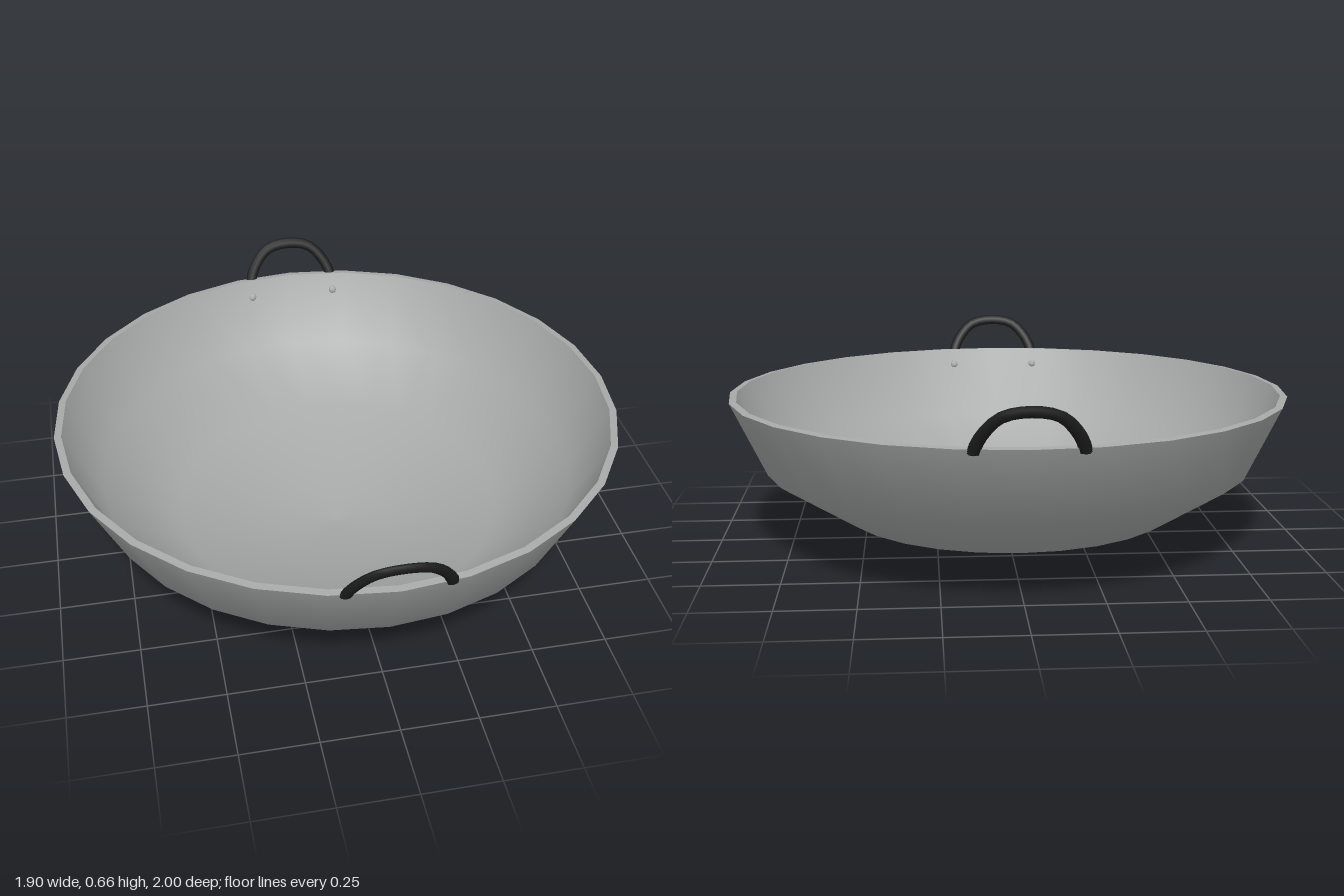
import * as THREE from 'three';

const SIDES = 28;

function mat(name, color, side = THREE.FrontSide) {
  const m = new THREE.MeshStandardMaterial({ color, side });
  m.name = name;
  return m;
}

function lathe(points) {
  return new THREE.LatheGeometry(points.map(([r, y]) => new THREE.Vector2(r, y)), SIDES);
}

export function createModel() {
  const group = new THREE.Group();
  const steel = mat('steel grey', 0xa6a9a8, THREE.DoubleSide);
  const black = mat('handle black', 0x1c1c1c);

  const add = (name, geometry, material, parent = group) => {
    const mesh = new THREE.Mesh(geometry, material);
    mesh.name = name;
    parent.add(mesh);
    return mesh;
  };

  // Bowl: separate shells keep the rim edges crisp
  add('bowlOutside', lathe([[0, 0], [0.2, 0.016], [0.575, 0.11], [0.832, 0.275], [0.95, 0.525]]), steel);
  add('bowlInside', lathe([[0.926, 0.528], [0.81, 0.287], [0.563, 0.13], [0.198, 0.037], [0, 0.022]]), steel);
  add('rim', lathe([[0.95, 0.525], [0.926, 0.528]]), steel);

  // Arched handle, flattened across its plane
  const arch = new THREE.CatmullRomCurve3(
    [[-0.158, -0.012], [-0.143, 0.035], [-0.085, 0.108], [0, 0.127],
      [0.085, 0.108], [0.143, 0.035], [0.158, -0.012]]
      .map(([x, y]) => new THREE.Vector3(x, y, 0)));
  const archGeo = new THREE.TubeGeometry(arch, 16, 0.02, 8, false).scale(1, 1, 0.65);

  // Round end plugs of the handle
  const endGeo = new THREE.SphereGeometry(0.02, 8, 6).scale(1, 0.4, 0.65);
  const rivetGeo = new THREE.SphereGeometry(0.015, 10, 6).scale(1, 1, 0.7);

  // Front and back assemblies mirror each other
  for (const [side, turn] of [['front', 0], ['back', Math.PI]]) {
    const end = new THREE.Group();
    end.name = side + 'HandleAssembly';
    end.rotation.y = turn;
    group.add(end);

    const handle = new THREE.Group();
    handle.name = side + 'Handle';
    handle.position.set(0, 0.525, 0.928);
    handle.rotation.x = 0.45;
    end.add(handle);
    add('handleArch', archGeo, black, handle);

    for (const s of [-1, 1]) {
      add('handleEnd', endGeo, black, handle).position.set(s * 0.158, -0.012, 0);
      const rivet = add('rivet', rivetGeo, steel, end);
      rivet.position.set(s * 0.16, 0.47, 0.882);
      rivet.rotation.x = 0.45;
    }
  }
  return group;
}
